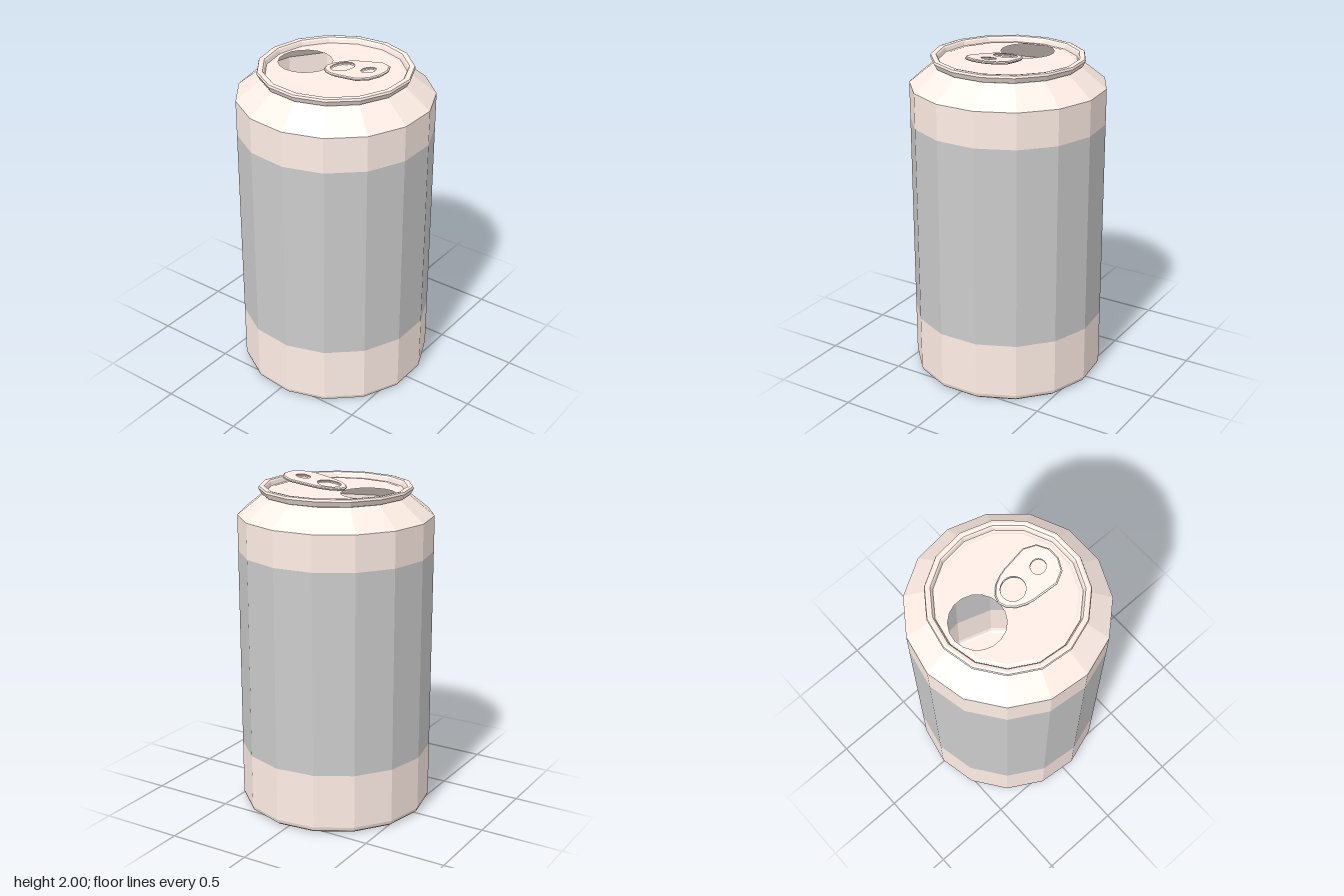
import * as THREE from 'three';

const SIDES = 15;
const CENTER_Z = 0.006; // offset that centres the odd-sided body
const LID_Y = 1.925;

const metal = new THREE.MeshStandardMaterial({ color: 0xffeee6, flatShading: true, side: THREE.DoubleSide });
const grey = new THREE.MeshStandardMaterial({ color: 0xcccccc, flatShading: true, side: THREE.DoubleSide });

// Points of a regular polygon; the first one lies on +y of the shape (-z of the model)
function ring(cx, cy, r, n) {
  return Array.from({ length: n }, (_, i) => {
    const a = (i / n) * Math.PI * 2;
    return new THREE.Vector2(cx + r * Math.sin(a), cy + r * Math.cos(a));
  });
}

export function createModel() {
  const group = new THREE.Group();

  function add(name, geometry, material) {
    const mesh = new THREE.Mesh(geometry, material);
    mesh.name = name;
    group.add(mesh);
    return mesh;
  }

  // Turned part with a corner pointing to the back
  function turned(name, profile, material) {
    const points = profile.map(([r, y]) => new THREE.Vector2(r, y));
    const mesh = add(name, new THREE.LatheGeometry(points, SIDES, Math.PI), material);
    mesh.position.z = CENTER_Z;
  }

  // Can body
  turned('base', [[0, 0], [0.552, 0], [0.567, 0.012], [0.575, 0.035], [0.575, 0.365]], metal);
  turned('labelBand', [[0.575, 0.365], [0.575, 1.575]], grey);
  turned('shoulder', [[0.575, 1.575], [0.575, 1.787], [0.425, 1.907]], metal);
  turned('rim', [
    [0.425, 1.907], [0.434, 1.91], [0.451, 1.941], [0.447, 1.954], [0.435, 1.957],
    [0.417, 1.954], [0.41, 1.945], [0.404, LID_Y - 0.003], [0.391, LID_Y - 0.003], [0.38, LID_Y],
  ], metal);

  // Lid with the drinking hole
  const lidShape = new THREE.Shape(ring(0, 0, 0.38, SIDES));
  lidShape.holes.push(new THREE.Path(ring(0, 0.216, 0.158, 18)));
  const lid = add('lid', new THREE.ShapeGeometry(lidShape).rotateX(-Math.PI / 2), metal);
  lid.position.set(0, LID_Y, CENTER_Z);

  // Pull tab: mirrored half outline, two holes, tilted up at the front
  const half = [[0.045, 0.045], [0.085, 0.005], [0.11, -0.045], [0.121, -0.09], [0.137, -0.24], [0.103, -0.308], [0.035, -0.343]];
  const outline = [[0, 0.06], ...half, ...half.map(([x, y]) => [-x, y]).reverse()];
  const tabShape = new THREE.Shape(outline.map(([x, y]) => new THREE.Vector2(x, y)));
  tabShape.holes.push(new THREE.Path(ring(0.003, -0.05, 0.077, 18)));
  tabShape.holes.push(new THREE.Path(ring(0.003, -0.23, 0.051, 16)));
  const tabGeometry = new THREE.ExtrudeGeometry(tabShape, {
    depth: 0.006, bevelEnabled: true, bevelThickness: 0.005, bevelSize: 0.007, bevelOffset: -0.007, bevelSegments: 1,
  }).rotateX(-Math.PI / 2);
  const tab = add('pullTab', tabGeometry, metal);
  tab.rotation.x = -0.145;
  tab.position.set(0.004, 1.94, 0.001);

  return group;
}
